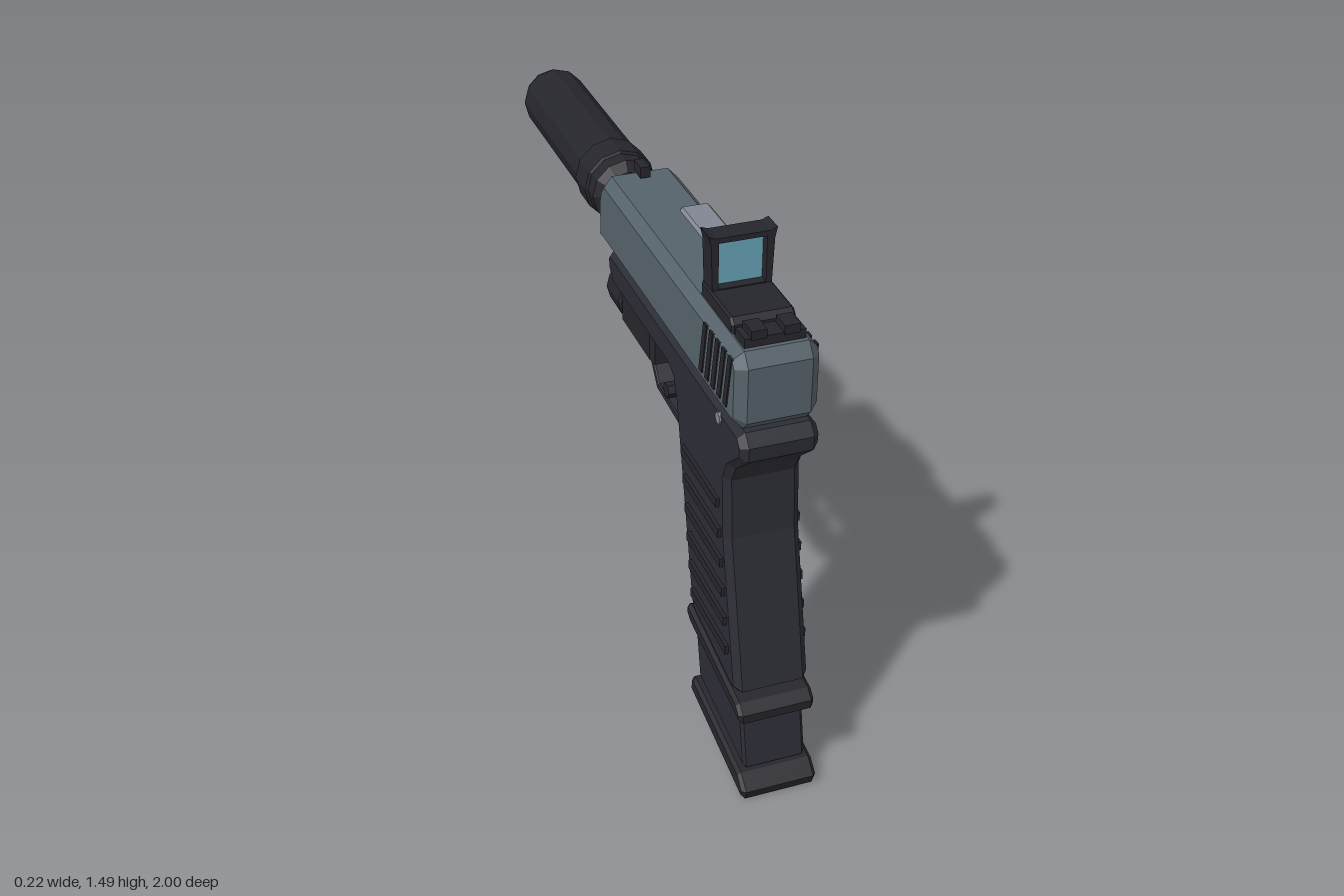
import * as THREE from 'three';

const material = (name, color) => {
  const m = new THREE.MeshStandardMaterial({ color });
  m.name = name;
  return m;
};

export function createModel() {
  const group = new THREE.Group();
  const steel = material('slate steel', 0x56626a);
  const polymer = material('charcoal polymer', 0x2c2c35);
  const black = material('matte black', 0x25252c);
  const silver = material('light steel', 0x818692);
  const glassBlue = material('lens blue', 0x67a3b8);
  const lensGrey = material('lamp lens', 0x74868c);

  const add = (name, geometry, mat) => {
    const mesh = new THREE.Mesh(geometry, mat);
    mesh.name = name;
    group.add(mesh);
    return mesh;
  };
  const toShape = (pts) => new THREE.Shape(pts.map(([a, b]) => new THREE.Vector2(a, b)));

  // Side profile of [z, y] points, extruded across x from x0 to x1 with chamfered rims
  const slab = (name, pts, x0, x1, bevel, mat) => {
    const geo = new THREE.ExtrudeGeometry(toShape(pts), {
      depth: x1 - x0 - 2 * bevel, bevelEnabled: bevel > 0, bevelSize: bevel,
      bevelThickness: bevel, bevelOffset: -bevel, bevelSegments: 1,
    });
    geo.rotateY(-Math.PI / 2).translate(x1 - bevel, 0, 0);
    return add(name, geo, mat);
  };
  const rect = (z0, z1, y0, y1) => [[z0, y0], [z1, y0], [z1, y1], [z0, y1]];
  const box = (name, x0, x1, y0, y1, z0, z1, mat) => {
    const geo = new THREE.BoxGeometry(x1 - x0, y1 - y0, z1 - z0);
    geo.translate((x0 + x1) / 2, (y0 + y1) / 2, (z0 + z1) / 2);
    return add(name, geo, mat);
  };
  // Faceted turned part along -z, from [radius, distance forward] points
  const turned = (name, pts, y, sides, mat) => {
    const lathe = new THREE.LatheGeometry(pts.map(([r, d]) => new THREE.Vector2(r, d)), sides);
    const geo = lathe.toNonIndexed();
    geo.rotateX(-Math.PI / 2).translate(0, y, 0);
    geo.computeVertexNormals();
    return add(name, geo, mat);
  };
  const pin = (name, z, y, r, halfLength, sides, mat) => {
    const geo = new THREE.CylinderGeometry(r, r, halfLength * 2, sides).toNonIndexed();
    geo.rotateZ(Math.PI / 2).translate(0, y, z);
    geo.computeVertexNormals();
    return add(name, geo, mat);
  };

  // Slide
  slab('slide', [[0.87, 1.09], [0.893, 1.115], [0.893, 1.265], [0.865, 1.3], [-0.13, 1.3],
    [-0.165, 1.265], [-0.183, 1.22], [-0.183, 1.1], [-0.17, 1.09]], -0.108, 0.108, 0.026, steel);
  slab('ejectionPort', [[0.115, 1.22], [0.342, 1.22], [0.342, 1.295], [0.33, 1.308],
    [0.127, 1.308], [0.115, 1.295]], 0.025, 0.111, 0.008, silver);

  // Slanted grip cuts at the rear of the slide, as thin plates on both sides
  for (const s of [-1, 1]) {
    for (let i = 0; i < 5; i++) {
      const z = 0.856 - i * 0.041;
      const x = s * 0.1085;
      slab('slideSerration', [[z - 0.05, 1.13], [z - 0.028, 1.13], [z, 1.278], [z - 0.022, 1.278]],
        x - 0.003, x + 0.003, 0, black);
    }
  }

  // Frame and grip
  slab('frameAndGrip', [[0.89, 1.09], [0.918, 1.06], [0.915, 1.02], [0.835, 0.95], [0.812, 0.9],
    [0.825, 0.73], [0.925, 0.31], [0.9, 0.295], [0.6, 0.34], [0.58, 0.37], [0.445, 0.93], [0.425, 0.975],
    [0.39, 0.99], [-0.075, 0.99], [-0.115, 1.03], [-0.118, 1.07], [-0.1, 1.09]], -0.102, 0.102, 0.018, polymer);
  for (let i = 0; i < 6; i++) {
    const y = 0.815 - i * 0.081;
    const z = 0.65 + i * 0.0175;
    for (const s of [-1, 1]) {
      box('gripRib', s * 0.103 - 0.009, s * 0.103 + 0.009, y - 0.013, y + 0.013,
        z - 0.128, z + 0.128, black);
    }
  }
  pin('framePin', 0.765, 1.06, 0.016, 0.107, 8, silver);
  pin('magazineRelease', 0.402, 0.924, 0.022, 0.11, 6, black);

  // Magazine well, magazine and base plate
  slab('magazineWell', [[0.96, 0.235], [0.962, 0.262], [0.935, 0.285], [0.575, 0.338],
    [0.557, 0.325], [0.56, 0.302], [0.59, 0.285]], -0.105, 0.105, 0.01, black);
  slab('magazine', [[0.955, 0.075], [0.915, 0.27], [0.58, 0.31], [0.622, 0.12]],
    -0.087, 0.087, 0.008, polymer);
  slab('magazineBase', [[0.99, 0], [1, 0.03], [0.96, 0.065], [0.62, 0.11], [0.6, 0.1],
    [0.6, 0.06]], -0.105, 0.105, 0.01, black);

  // Trigger and its guard
  slab('triggerGuard', [[0.5, 0.822], [0.375, 0.752], [0.145, 0.765], [0.07, 0.855], [0.1, 0.855],
    [0.157, 0.787], [0.368, 0.777], [0.48, 0.832]], -0.045, 0.045, 0.004, polymer);
  slab('trigger', [[0.29, 1], [0.285, 0.91], [0.257, 0.83], [0.232, 0.835], [0.255, 0.91],
    [0.247, 1]], -0.025, 0.025, 0.004, black);

  // Lamp under the rail
  slab('lampBody', rect(-0.11, 0.153, 0.848, 0.988), -0.065, 0.065, 0.012, black);
  turned('lampHead', [[0, 0.1], [0.066, 0.1], [0.074, 0.11], [0.074, 0.215], [0, 0.215]], 0.91, 12, black);
  turned('lampLens', [[0, 0.214], [0.062, 0.214], [0.062, 0.225], [0, 0.225]], 0.91, 12, lensGrey);

  // Barrel and suppressor
  turned('barrel', [[0, 0.17], [0.045, 0.17], [0.045, 0.25], [0, 0.25]], 1.182, 12, silver);
  turned('barrelThread', [[0, 0.18], [0.052, 0.18], [0.052, 0.195], [0, 0.195]], 1.182, 12, steel);
  turned('suppressor', [[0, 0.212], [0.065, 0.212], [0.07, 0.235], [0.099, 0.255], [0.099, 0.965],
    [0.084, 1], [0, 1]], 1.182, 12, black);
  turned('suppressorCollar', [[0.098, 0.3], [0.107, 0.305], [0.107, 0.395], [0.098, 0.4]], 1.182, 12, black);

  // Iron sights
  box('frontSight', -0.014, 0.014, 1.305, 1.337, -0.137, -0.08, black);
  box('frontSightFoot', -0.01, 0.01, 1.29, 1.31, -0.125, -0.092, black);
  box('rearSightBase', -0.078, 0.078, 1.295, 1.325, 0.795, 0.853, black);
  for (const s of [-1, 1]) {
    box('rearSightPost', s * 0.042 - 0.02, s * 0.042 + 0.02, 1.32, 1.344, 0.8, 0.856, black);
  }

  // Reflex sight: base, flared window frame and glass
  slab('reflexBase', [[0.785, 1.298], [0.785, 1.325], [0.77, 1.34], [0.575, 1.34],
    [0.575, 1.298]], -0.082, 0.082, 0.006, black);
  const hood = toShape([[-0.077, 1.33], [0.077, 1.33], [0.082, 1.46], [0.088, 1.488],
    [0.07, 1.481], [-0.07, 1.481], [-0.088, 1.488], [-0.082, 1.46]]);
  hood.holes.push(new THREE.Path([[-0.062, 1.343], [-0.062, 1.467], [0.062, 1.467], [0.062, 1.343]]
    .map(([x, y]) => new THREE.Vector2(x, y))));
  const hoodGeo = new THREE.ExtrudeGeometry(hood, { depth: 0.06, bevelEnabled: false });
  add('reflexHood', hoodGeo.translate(0, 0, 0.58), black);
  box('reflexGlass', -0.063, 0.063, 1.342, 1.468, 0.606, 0.614, glassBlue);

  return group;
}
